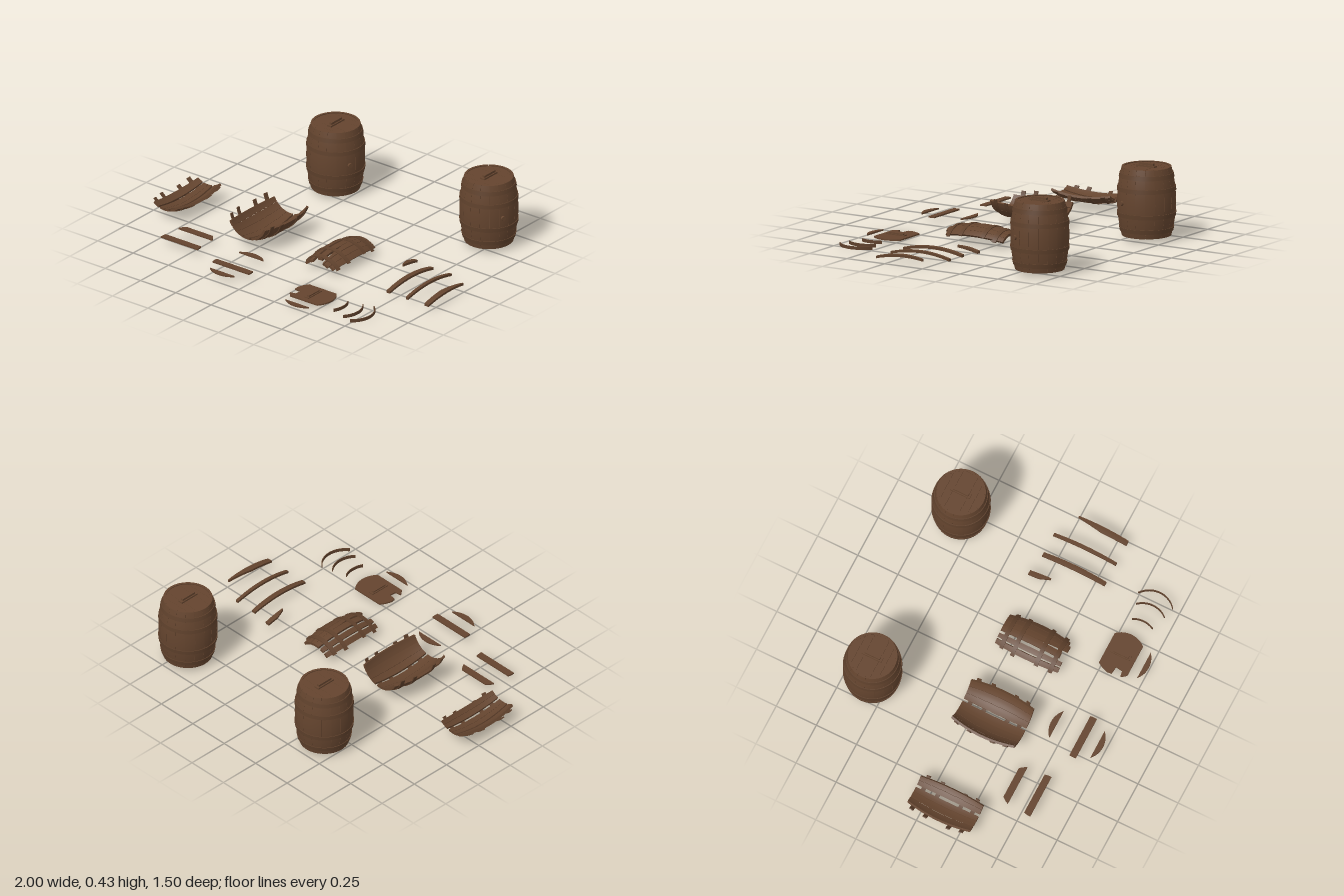
import * as THREE from 'three';

const wood = new THREE.MeshStandardMaterial({ color: 0x64442e });
wood.name = 'brownWood';
const band = new THREE.MeshStandardMaterial({ color: 0x5e402b });
band.name = 'brownHoop';

const DEG = Math.PI / 180, HALF = 0.195;
const bulge = y => 0.164 - 0.026 * (y / HALF) ** 2;
const HOOPS = [-0.155, -0.07, 0.075, 0.15];

function add(parent, name, geometry, material, x = 0, y = 0, z = 0) {
  const mesh = new THREE.Mesh(geometry, material);
  mesh.name = name;
  mesh.position.set(x, y, z);
  parent.add(mesh);
  return mesh;
}

function group(parent, name, x, y, z) {
  const g = new THREE.Group();
  g.name = name;
  g.position.set(x, y, z);
  parent.add(g);
  return g;
}

// Bend a box around the y axis: width becomes an angle, depth becomes radius.
// tip narrows one end (+1 upper, -1 lower) into a broken splinter.
function bent(a0, a1, y0, y1, radius, thick, segA, segY, tip = 0) {
  const geo = new THREE.BoxGeometry(1, 1, 1, segA, segY, 1);
  const p = geo.attributes.position;
  for (let i = 0; i < p.count; i++) {
    const v = p.getY(i), y = y0 + (y1 - y0) * (v + 0.5);
    let u = p.getX(i) + 0.5;
    if (tip) u = 1 - (1 - u) * (1 - 0.75 * Math.max(0, tip * v * 2));
    const a = (a0 + (a1 - a0) * u) * DEG;
    const r = radius(y) + (p.getZ(i) - 0.5) * thick;
    p.setXYZ(i, r * Math.sin(a), y, r * Math.cos(a));
  }
  geo.computeVertexNormals();
  return geo;
}

const stave = (a0, a1, y0 = -HALF, y1 = HALF, tip = 0) =>
  bent(a0, a1, y0, y1, bulge, 0.014, 3, 12, tip);
const hoop = (y, a0, a1, segs) =>
  bent(a0, a1, y - 0.012, y + 0.012, t => bulge(t) + 0.004, 0.006, segs, 1);

// Flat board from a list of x, z points, top face at y = 0
function board(points, thick = 0.008) {
  const shape = new THREE.Shape(points.map(([x, z]) => new THREE.Vector2(x, z)));
  return new THREE.ExtrudeGeometry(shape, { depth: thick, bevelEnabled: false }).rotateX(Math.PI / 2);
}

// One side of a round lid between two z limits
function arcSide(R, z0, z1, n = 10) {
  const b0 = Math.asin(z0 / R), b1 = Math.asin(z1 / R);
  return Array.from({ length: n + 1 }, (_, i) => {
    const b = b0 + (b1 - b0) * i / n;
    return [R * Math.cos(b), R * Math.sin(b)];
  });
}

function plank(R, z0, z1) {
  const right = arcSide(R, Math.max(z0, -R + 1e-4), Math.min(z1, R - 1e-4));
  return board([...right, ...right.map(([x, z]) => [-x, z]).reverse()]);
}

// Grip lying along z: foot plate, two stubs and a raised bar
function grip(parent, name, x, y, z) {
  const g = group(parent, name, x, y, z);
  add(g, 'gripPlate', new THREE.BoxGeometry(0.03, 0.005, 0.12), wood, 0, 0.0025, 0);
  add(g, 'gripBar', new THREE.BoxGeometry(0.016, 0.007, 0.095), wood, 0, 0.0085, 0);
  return g;
}

function barrel(root, name, x, z) {
  const g = group(root, name, x, 0.215, z);
  const n = 18, step = 360 / n;
  for (let i = 0; i < n; i++) add(g, 'stave', stave(i * step + 0.2, (i + 1) * step - 0.2), wood);
  for (const y of HOOPS) add(g, 'hoop', hoop(y, 0, 360, 60), band);
  // Planked lid and recessed bottom
  const cuts = [-0.13, -0.088, -0.045, 0.045, 0.088, 0.13];
  for (let i = 0; i < 5; i++) add(g, 'lidPlank', plank(0.13, cuts[i] + 0.0005, cuts[i + 1] - 0.0005), wood, 0, 0.19, 0);
  add(g, 'bottom', new THREE.CylinderGeometry(0.13, 0.13, 0.01, 40), wood, 0, -0.185, 0);
  grip(g, 'lidGrip', 0, 0.19, 0).scale.y = 1.8;
  const bung = add(g, 'bung', new THREE.CylinderGeometry(0.013, 0.015, 0.025, 12), wood);
  bung.geometry.rotateX(Math.PI / 2);
  bung.rotation.y = 67 * DEG;
  bung.position.set(0.162 * Math.sin(67 * DEG), 0, 0.162 * Math.cos(67 * DEG));
}

// Piece of barrel wall lying along z; up = +1 arches upward, -1 lies like a cradle
function shell(root, name, x, y, up, hoopA0, hoopA1, spans) {
  const g = group(root, name, x, y, 0.115);
  g.rotation.x = -up * Math.PI / 2;
  spans.forEach(([a0, a1, y0, y1, tip]) => add(g, 'stave', stave(a0, a1, y0, y1, tip), wood));
  HOOPS.forEach((h, i) => add(g, 'hoop', hoop(h, hoopA0 + (i % 2) * 3, hoopA1 - (i % 3) * 2, 20), band));
}

export function createModel() {
  const root = new THREE.Group();
  root.name = 'barrelSet';

  barrel(root, 'rightBarrel', -0.375, -0.59);
  barrel(root, 'leftBarrel', 0.71, -0.59);

  // Broken wall pieces
  shell(root, 'smallCradle', -0.875, 0.195, -1, -48, 48, [[-35, -18], [-14, 0], [0.5, 13], [19, 31], [31.5, 43]]);
  shell(root, 'largeCradle', -0.292, 0.193, -1, -79, 77,
    [[-64, -50], [-49.5, -32], [-31.5, -12], [-11.5, 8], [14, 30], [30.5, 50], [50.5, 70]]);
  shell(root, 'archedPiece', 0.215, -0.063, 1, -49, 49,
    [[-43, -31], [-27, -16], [-10, 4, -0.17], [4.5, 16, -HALF, HALF, -1], [17, 30], [30.5, 43, -0.18]]);

  // Loose staves, arched side up: x, width, end limits, splintered end, z shift
  const loose = [
    [0.58, 0.032, 0.065, HALF, -1, -0.02], [0.71, 0.03, -HALF, HALF, 0, 0],
    [0.842, 0.021, -HALF, HALF, 0, 0], [0.98, 0.036, -HALF, 0.115, 1, 0],
  ];
  for (const [x, w, y0, y1, tip, dz] of loose) {
    const a = w / 2 / 0.16 / DEG;
    add(root, 'looseStave', stave(-a, a, y0, y1, tip), wood, x, -0.1, 0.115 + dz).rotation.x = -Math.PI / 2;
  }

  // Loose lid planks: x, y, centre z, z limits from the centre
  const planks = [
    [-0.575, 0.044, 0.465, -0.09, -0.05], [-0.575, 0.044, 0.555, -0.035, 0.005],
    [-0.155, 0.044, 0.54, -0.13, -0.096], [-0.155, 0.044, 0.61, -0.02, 0.02],
    [-0.157, 0.044, 0.605, 0.096, 0.13], [0.385, 0.018, 0.615, 0.1, 0.13],
  ];
  for (const [x, y, z, z0, z1] of planks) add(root, 'lidPlank', plank(0.13, z0, z1), wood, x, y, z);

  // Broken lid with a grip on each side
  const lid = group(root, 'brokenLid', 0.385, 0.018, 0.572);
  const ragged = [[-0.096, 0.088], [-0.115, 0.065], [-0.118, 0.055], [-0.085, 0.05], [-0.08, 0.01],
    [-0.125, 0.004], [-0.128, -0.025], [-0.115, -0.06], [-0.098, -0.088]];
  add(lid, 'lidBoard', board([...arcSide(0.13, -0.088, 0.088), ...ragged]), wood);
  grip(lid, 'upperGrip', 0, 0, 0);
  const under = grip(lid, 'lowerGrip', 0, -0.008, 0);
  under.rotation.z = Math.PI;
  under.scale.y = 10 / 12;

  // Snapped hoop pieces
  for (const [x, z, half] of [[0.618, 0.595, 29], [0.725, 0.6, 42], [0.81, 0.6, 54]])
    add(root, 'hoopPiece', bent(90 - half, 90 + half, 0.008, 0.026, () => 0.135, 0.005, 16, 1), band, x - 0.135, 0, z);

  return root;
}
